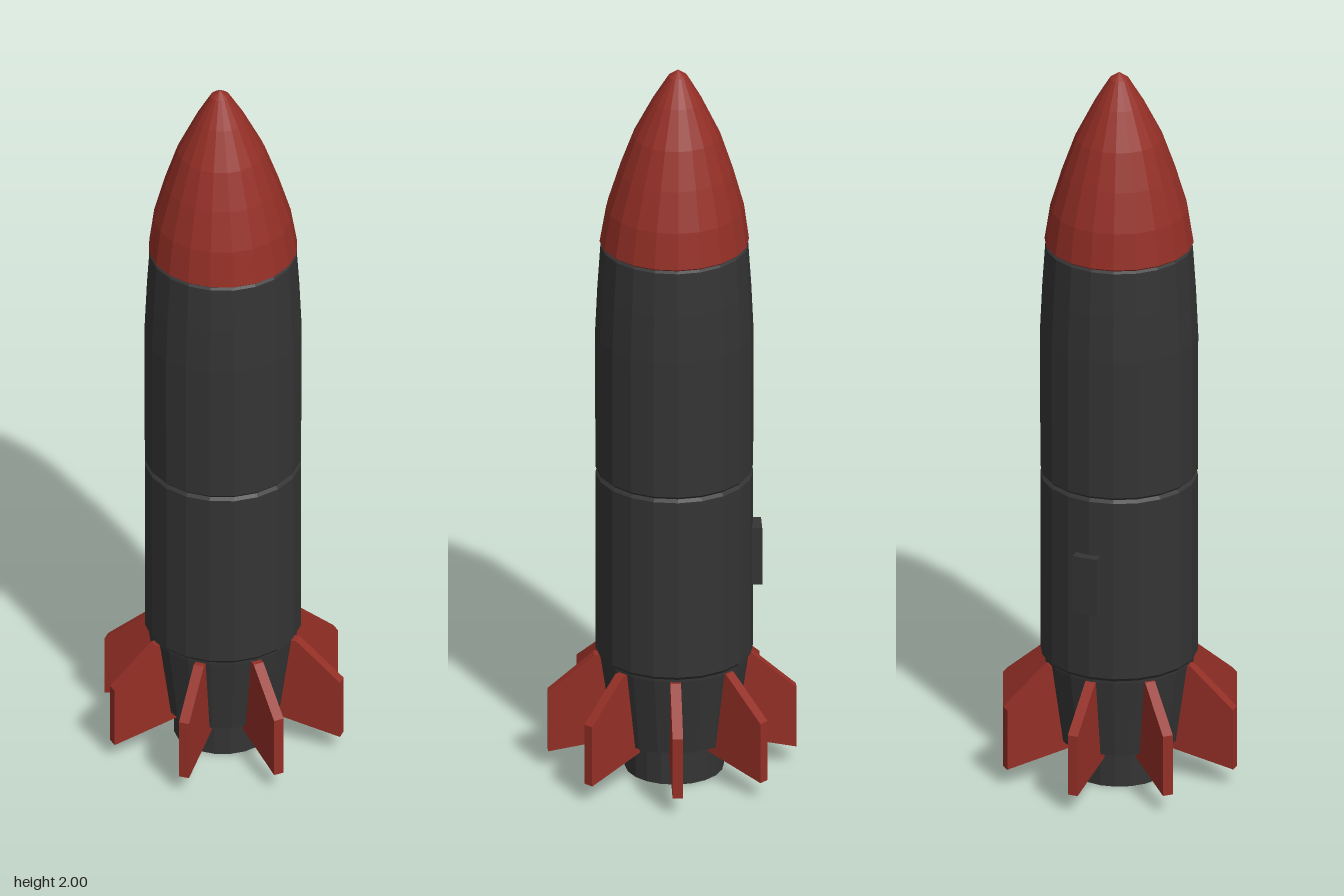
import * as THREE from 'three';

const SIDES = 20;

export function createModel() {
  const group = new THREE.Group();
  const red = new THREE.MeshStandardMaterial({ color: 0x942f26, flatShading: true });
  red.name = 'brick red';
  const dark = new THREE.MeshStandardMaterial({ color: 0x343434, flatShading: true });
  dark.name = 'charcoal';

  const add = (name, geometry, material, parent = group) => {
    const mesh = new THREE.Mesh(geometry, material);
    mesh.name = name;
    parent.add(mesh);
    return mesh;
  };
  // closed surface of revolution from [radius, height] pairs, bottom to top
  const turned = (name, profile, material) => {
    const points = profile.map(([r, y]) => new THREE.Vector2(r, y));
    const mesh = add(name, new THREE.LatheGeometry(points, SIDES), material);
    mesh.position.z = -0.006;
    return mesh;
  };

  // engine: nozzle and tapered skirt
  turned('nozzle', [[0, 0.005], [0.118, 0.005], [0.13, 0], [0.13, 0.11], [0, 0.11]], dark);
  turned('engineSkirt', [[0, 0.1], [0.135, 0.1], [0.165, 0.105], [0.197, 0.325], [0.197, 0.35]], dark);

  // hull sections, bevelled so a groove runs between them
  turned('lowerHull', [[0, 0.333], [0.198, 0.333], [0.207, 0.343], [0.207, 0.846], [0.199, 0.854]], dark);
  turned('upperHull', [[0.199, 0.854], [0.207, 0.862], [0.208, 1.25], [0.202, 1.38], [0.194, 1.5], [0.186, 1.507], [0, 1.507]], dark);

  // ogive nose, leaning very slightly at the tip
  const nose = turned('noseCone', [
    [0, 1.503], [0.184, 1.503], [0.196, 1.512], [0.181, 1.61], [0.15, 1.715],
    [0.115, 1.815], [0.066, 1.913], [0.025, 1.982], [0, 2],
  ], red);
  const p = nose.geometry.attributes.position;
  for (let i = 0; i < p.count; i++) {
    const t = Math.max(0, p.getY(i) - 1.52) / 0.48;
    p.setXYZ(i, p.getX(i) - 0.004 * t, p.getY(i), p.getZ(i) - 0.01 * t);
  }

  // hatch on the back
  add('hatch', new THREE.BoxGeometry(0.07, 0.162, 0.045), dark).position.set(0.004, 0.612, -0.2125);

  // eight swept fins
  const outline = new THREE.Shape([
    [0.14, 0.085], [0.326, 0.05], [0.326, 0.22], [0.205, 0.325], [0.18, 0.325],
  ].map(([x, y]) => new THREE.Vector2(x, y)));
  const finGeometry = new THREE.ExtrudeGeometry(outline, { depth: 0.028, bevelEnabled: false });
  finGeometry.translate(0, 0, -0.014);
  const fins = new THREE.Group();
  fins.name = 'fins';
  for (let i = 0; i < 8; i++) {
    add('fin', finGeometry, red, fins).rotation.y = i * Math.PI / 4;
  }
  group.add(fins);
  return group;
}
